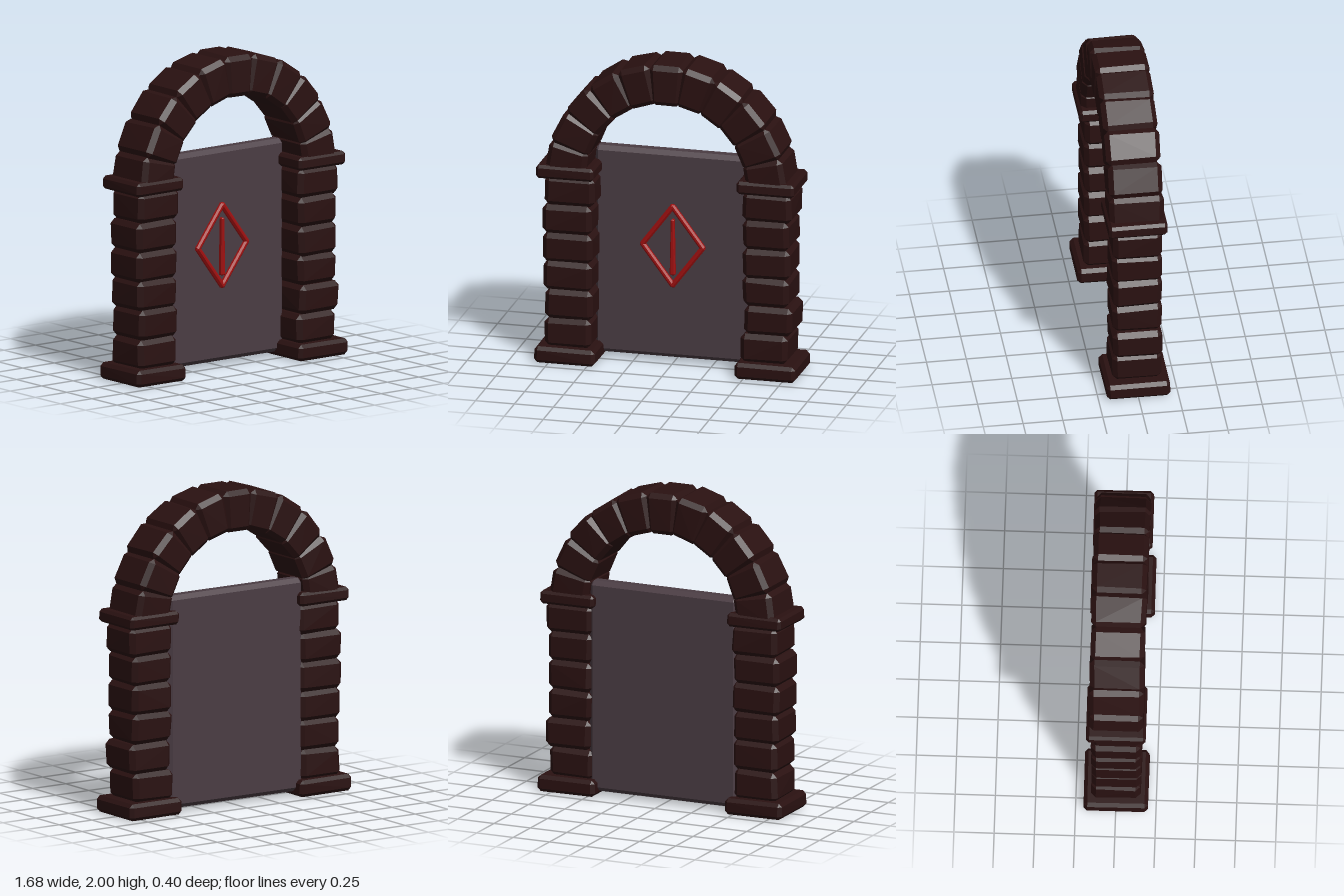
import * as THREE from 'three';
import { ConvexGeometry } from 'three/addons/geometries/ConvexGeometry.js';

const stone = new THREE.MeshStandardMaterial({ name: 'dark stone', color: 0x2a1111, flatShading: true });
const slab = new THREE.MeshStandardMaterial({ name: 'grey slab', color: 0x4a3c43, flatShading: true });
const red = new THREE.MeshStandardMaterial({ name: 'red rune', color: 0xa01010, flatShading: true });

// Small seeded generator, returns -1..1
let seed = 7;
function jitter(amount) {
  seed = (seed * 16807) % 2147483647;
  return (seed / 2147483647 * 2 - 1) * amount;
}

// Box with chamfered edges; taper scales the width at the bottom, rough shifts the corners
function chamferBox(name, material, w, h, d, bevel, { taper = 1, rough = 0 } = {}) {
  const points = [];
  for (const sx of [-1, 1]) for (const sy of [-1, 1]) for (const sz of [-1, 1]) {
    const k = sy < 0 ? taper : 1;
    const x = sx * w / 2 * k + jitter(rough);
    const y = sy * h / 2 + jitter(rough);
    const z = sz * d / 2 + jitter(rough);
    points.push(
      new THREE.Vector3(x, y - sy * bevel, z - sz * bevel),
      new THREE.Vector3(x - sx * bevel, y, z - sz * bevel),
      new THREE.Vector3(x - sx * bevel, y - sy * bevel, z));
  }
  const mesh = new THREE.Mesh(new ConvexGeometry(points), material);
  mesh.name = name;
  return mesh;
}

// Pillar of stacked stones, each given as [inner x, outer x]
function pillar(name, side, spans) {
  const group = new THREE.Group();
  group.name = name;
  const base = chamferBox('pillarBase', stone, 0.39, 0.105, 0.4, 0.022, { rough: 0.002 });
  base.position.set(side * 0.643, 0.0545, 0);
  const cap = chamferBox('pillarCap', stone, 0.37, 0.085, 0.37, 0.018, { rough: 0.002 });
  cap.position.set(side * 0.643, 1.25, 0);
  group.add(base, cap);
  const step = 0.185;
  spans.forEach(([inner, outer], i) => {
    const block = chamferBox('pillarStone', stone, outer - inner, step + 0.004, 0.308, 0.03, { rough: 0.004 });
    block.position.set(side * (inner + outer) / 2, 0.1 + step * (i + 0.5), 0);
    group.add(block);
  });
  return group;
}

// Round arch of radially placed stones
function arch() {
  const group = new THREE.Group();
  group.name = 'arch';
  const count = 11, radius = 0.64, centreY = 1.23;
  for (let i = 0; i < count; i++) {
    const a = Math.PI * (i + 0.5) / count;
    const block = chamferBox(i === 5 ? 'keystone' : 'archStone', stone,
      0.218, 0.258, 0.34, 0.03, { taper: 0.88, rough: 0.004 });
    block.position.set(Math.cos(a) * radius, centreY + Math.sin(a) * radius, 0);
    block.rotation.z = a - Math.PI / 2;
    group.add(block);
  }
  return group;
}

// Diamond of four bars around an upright tapered bar
function rune() {
  const group = new THREE.Group();
  group.name = 'rune';
  const halfW = 0.193, halfH = 0.257;
  for (const sx of [-1, 1]) for (const sy of [-1, 1]) {
    const bar = chamferBox('diamondBar', red, 0.034, Math.hypot(halfW, halfH) + 0.026, 0.036, 0.011);
    bar.position.set(sx * halfW / 2, sy * halfH / 2, 0);
    bar.rotation.z = sx * sy * Math.atan2(halfW, halfH);
    group.add(bar);
  }
  const upright = chamferBox('centreBar', red, 0.022, 0.365, 0.034, 0.007, { taper: 1.6 });
  upright.position.y = -0.008;
  group.add(upright);
  group.position.set(0, 0.77, -0.02);
  return group;
}

export function createModel() {
  seed = 7;
  const model = new THREE.Group();
  model.name = 'stoneGate';

  model.add(
    pillar('leftPillar', 1, [[0.475, 0.777], [0.497, 0.808], [0.487, 0.785],
      [0.488, 0.79], [0.487, 0.785], [0.485, 0.803]]),
    pillar('rightPillar', -1, [[0.488, 0.785], [0.478, 0.782], [0.483, 0.79],
      [0.475, 0.8], [0.482, 0.8], [0.467, 0.785]]),
    arch());

  // Slab set toward the back of the pillars
  const door = chamferBox('door', slab, 1.02, 1.35, 0.105, 0.027);
  door.position.set(0, 0.705, -0.085);
  model.add(door, rune());
  return model;
}
